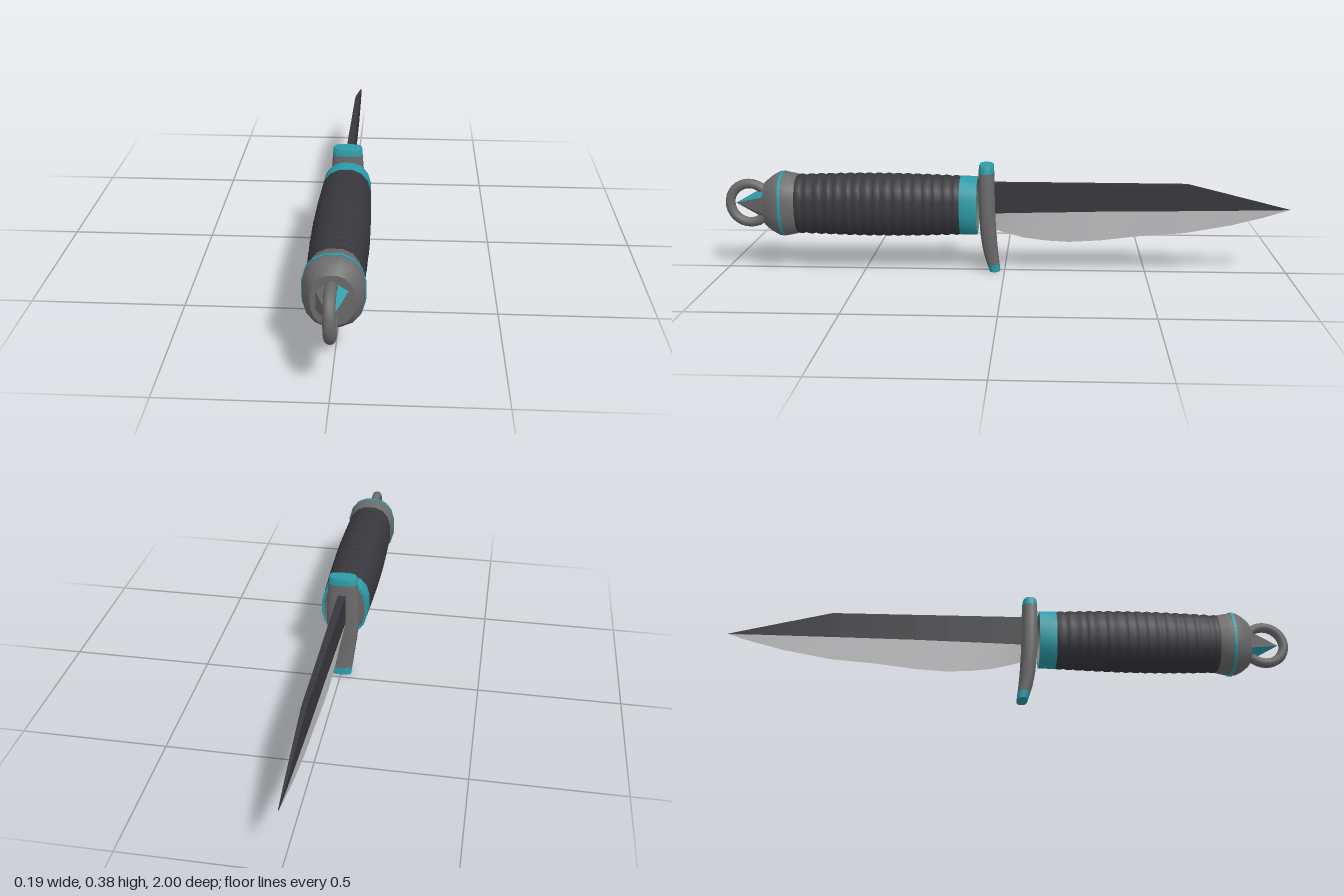
import * as THREE from 'three';
import { toCreasedNormals } from 'three/addons/utils/BufferGeometryUtils.js';

const CY = 0.237; // height of the handle axis
const SIDES = 16;

function geometryFrom(positions, index) {
  const g = new THREE.BufferGeometry();
  g.setAttribute('position', new THREE.Float32BufferAttribute(positions, 3));
  if (index) g.setIndex(index);
  return g;
}

// rounded-oval ring; half a step of offset leaves flat edges at top and sides
function oval(n, rx, ry, power, place) {
  const ring = [];
  const bend = (v) => Math.sign(v) * Math.pow(Math.abs(v), 2 / power);
  for (let j = 0; j < n; j++) {
    const a = ((j + 0.5) / n) * Math.PI * 2;
    ring.push(place(bend(Math.cos(a)) * rx, bend(Math.sin(a)) * ry));
  }
  return ring;
}
const ringZ = ([z, rx, ry]) => oval(SIDES, rx, ry, 2.4, (u, v) => [u, CY + v, z]);
const ringY = ([y, zc, rx, rz]) => oval(24, rx, rz, 2.8, (u, v) => [u, y, zc - v]);

// skin through a list of rings, with optional end caps
function loft(rings, capStart = false, capEnd = false, crease = 0.7) {
  const n = rings[0].length, pos = rings.flat(2), idx = [];
  for (let i = 0; i < rings.length - 1; i++) {
    for (let j = 0; j < n; j++) {
      const k = (j + 1) % n, a = i * n + j, b = i * n + k;
      idx.push(a, b, b + n, a, b + n, a + n);
    }
  }
  const last = (rings.length - 1) * n;
  for (let j = 1; j < n - 1; j++) {
    if (capStart) idx.push(0, j + 1, j);
    if (capEnd) idx.push(last, last + j, last + j + 1);
  }
  return toCreasedNormals(geometryFrom(pos, idx), crease);
}

export function createModel() {
  const group = new THREE.Group();
  const material = (name, color, side = THREE.FrontSide) => {
    const m = new THREE.MeshStandardMaterial({ color, side });
    m.name = name;
    return m;
  };
  const grey = material('gunmetal grey', 0x6b6b6b);
  const teal = material('teal', 0x2b9ca8);
  const dark = material('charcoal', 0x38373d);
  const steel = material('bright steel', 0xc6c6c8);
  const add = (name, geometry, mat) => {
    const mesh = new THREE.Mesh(geometry, mat);
    mesh.name = name;
    group.add(mesh);
    return mesh;
  };

  // ribbed grip, swelling slightly in the middle
  const grip = [], ribs = 17, steps = 4;
  for (let i = 0; i <= ribs * steps; i++) {
    const t = i / (ribs * steps);
    const swell = 0.007 * Math.sin(Math.PI * t);
    const rib = 0.004 * Math.abs(Math.sin(Math.PI * t * ribs));
    grip.push(ringZ([0.152 + 0.59 * t, 0.081 + swell + rib, 0.101 + swell + rib]));
  }
  add('grip', loft(grip, false, false, 0.9), dark);

  // collar with a hollow facing the guard
  add('collar', loft([[0.095, 0.074, 0.094], [0.095, 0.083, 0.103], [0.156, 0.084, 0.104],
    [0.156, 0.076, 0.096]].map(ringZ)), teal);
  add('collarHollow', loft([[0.15, 0.074, 0.094], [0.095, 0.074, 0.094]].map(ringZ), true), grey);

  // pommel
  add('pommel', loft([[0.735, 0.076, 0.096], [0.735, 0.083, 0.106], [0.76, 0.088, 0.111],
    [0.785, 0.093, 0.115], [0.803, 0.091, 0.113], [0.827, 0.079, 0.1],
    [0.85, 0.064, 0.081]].map(ringZ), false, true), grey);
  add('pommelBand', loft([[0.781, 0.09, 0.112], [0.781, 0.0942, 0.1162], [0.791, 0.0942, 0.1162],
    [0.791, 0.09, 0.112]].map(ringZ)), teal);

  // six-sided spike, two opposite faces painted
  const corner = (i) => {
    const a = Math.PI / 6 + (i * Math.PI) / 3;
    return [0.054 * Math.cos(a), CY + 0.064 * Math.sin(a), 0.849];
  };
  const plain = [], painted = [];
  for (let i = 0; i < 6; i++) {
    (i % 3 === 0 ? painted : plain).push(...corner(i), ...corner(i + 1), 0, CY, 0.962);
  }
  for (const [name, points, mat] of [['spike', plain, grey], ['spikePaint', painted, teal]]) {
    const g = geometryFrom(points);
    g.computeVertexNormals();
    add(name, g, mat);
  }

  // lanyard ring
  const ring = add('lanyardRing', new THREE.TorusGeometry(0.0705, 0.0175, 12, 32), grey);
  ring.rotation.y = Math.PI / 2;
  ring.position.set(0, CY, 0.912);

  // curved guard with painted tips: [y, z centre, half width, half depth]
  const lowTip = [0.027, 0.041, 0.039, 0.022], highTip = [0.358, 0.064, 0.051, 0.027];
  add('guard', loft([lowTip, [0.06, 0.048, 0.043, 0.025], [0.1, 0.054, 0.048, 0.027],
    [0.14, 0.058, 0.053, 0.028], [0.2, 0.061, 0.057, 0.029], [0.28, 0.063, 0.057, 0.029],
    [0.33, 0.064, 0.053, 0.028], highTip].map(ringY)), grey);
  add('guardLowerTip', loft([[0, 0.035, 0.036, 0.019], lowTip].map(ringY), true), teal);
  add('guardUpperTip', loft([highTip, [0.38, 0.064, 0.049, 0.026],
    [0.385, 0.064, 0.047, 0.024]].map(ringY), false, true), teal);

  // blade stations: [z, spine y, bevel line y, edge y, half thickness]
  const stations = [
    [0.05, 0.32, 0.21, 0.155, 0.014], [0.0, 0.32, 0.212, 0.138, 0.0135],
    [-0.07, 0.32, 0.214, 0.12, 0.013], [-0.15, 0.32, 0.216, 0.11, 0.0125],
    [-0.23, 0.32, 0.218, 0.106, 0.012], [-0.34, 0.32, 0.221, 0.113, 0.011],
    [-0.475, 0.32, 0.223, 0.13, 0.01], [-0.61, 0.32, 0.225, 0.141, 0.009],
    [-0.64, 0.32, 0.2255, 0.144, 0.0085], [-0.8, 0.281, 0.228, 0.174, 0.006],
    [-0.91, 0.254, 0.23, 0.203, 0.004], [-1.0, 0.232, 0.2315, 0.231, 0.0015],
  ];
  const body = [], bevel = [];
  const quad = (out, a, b, c, d) => out.push(...a, ...b, ...c, ...a, ...c, ...d);
  for (let i = 0; i < stations.length - 1; i++) {
    const section = ([z, s, m, e, t]) => ({
      ls: [t, s, z], rs: [-t, s, z], lm: [t, m, z], rm: [-t, m, z], e: [0, e, z],
    });
    const p = section(stations[i]), q = section(stations[i + 1]);
    quad(body, p.lm, q.lm, q.ls, p.ls);
    quad(body, p.rs, q.rs, q.rm, p.rm);
    quad(body, p.ls, q.ls, q.rs, p.rs);
    quad(bevel, p.e, q.e, q.lm, p.lm);
    quad(bevel, p.rm, q.rm, q.e, p.e);
  }
  add('bladeBody', toCreasedNormals(geometryFrom(body), 0.3), dark);
  add('bladeBevel', toCreasedNormals(geometryFrom(bevel), 0.2), steel);

  return group;
}
